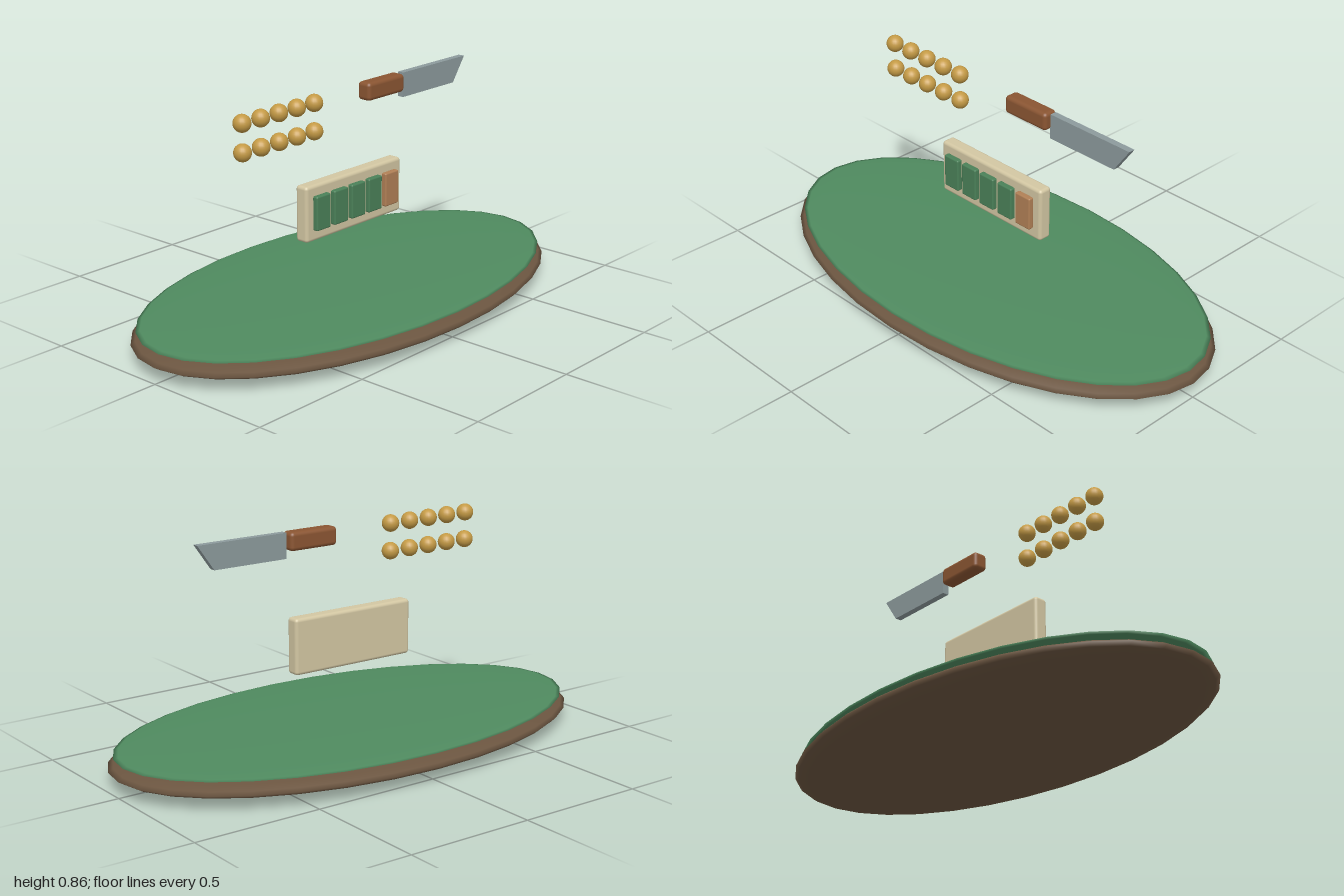
import * as THREE from 'three';
import { RoundedBoxGeometry } from 'three/addons/geometries/RoundedBoxGeometry.js';

const mat = (color) => new THREE.MeshStandardMaterial({ color });

export function createModel() {
  const model = new THREE.Group();
  const wood = mat(0x6b5540), felt = mat(0x4f8a5f), ivory = mat(0xd2c6a2);
  const green = mat(0x4a8058), orange = mat(0xb07f55), gold = mat(0xc49a45);
  const brown = mat(0x8a5532), steel = mat(0x8c9a9c);

  const add = (name, geometry, material, x, y, z, parent = model) => {
    const mesh = new THREE.Mesh(geometry, material);
    mesh.name = name;
    mesh.position.set(x, y, z);
    parent.add(mesh);
    return mesh;
  };

  // Oval table: two flattened spheres, wooden base and felt top
  const disc = new THREE.SphereGeometry(1, 32, 16);
  add('tableBase', disc, wood, 0, 0.06, 0).scale.set(1, 0.06, 0.545);
  add('feltTop', disc, felt, 0, 0.105, 0).scale.set(0.98, 0.018, 0.525);

  // Upright panel with a row of five tiles
  const panel = new THREE.Group();
  panel.name = 'tilePanel';
  model.add(panel);
  add('panelBoard', new RoundedBoxGeometry(0.53, 0.215, 0.056, 3, 0.013), ivory, -0.002, 0.425, 0, panel);
  const tile = new RoundedBoxGeometry(0.075, 0.132, 0.024, 2, 0.006);
  for (let i = 0; i < 5; i++) {
    add('tile' + (i + 1), tile, i < 4 ? green : orange, -0.195 + i * 0.096, 0.427, 0.037, panel);
  }

  // Two rows of five beads
  const beads = new THREE.Group();
  beads.name = 'beads';
  model.add(beads);
  const bead = new THREE.SphereGeometry(0.033, 20, 14);
  for (const y of [0.831, 0.725]) {
    for (let i = 0; i < 5; i++) add('bead', bead, gold, -0.559 + i * 0.0915, y, 0, beads);
  }

  // Knife: rounded handle and slanted blade
  const knife = new THREE.Group();
  knife.name = 'knife';
  model.add(knife);
  add('knifeHandle', new RoundedBoxGeometry(0.206, 0.07, 0.06, 3, 0.015), brown, 0.178, 0.821, 0, knife);
  const outline = new THREE.Shape([
    [0.291, 0.76], [0.597, 0.76], [0.665, 0.856], [0.291, 0.856],
  ].map(([x, y]) => new THREE.Vector2(x, y)));
  const blade = new THREE.ExtrudeGeometry(outline, { depth: 0.026, bevelEnabled: false });
  add('knifeBlade', blade, steel, 0, 0, -0.013, knife);

  return model;
}
